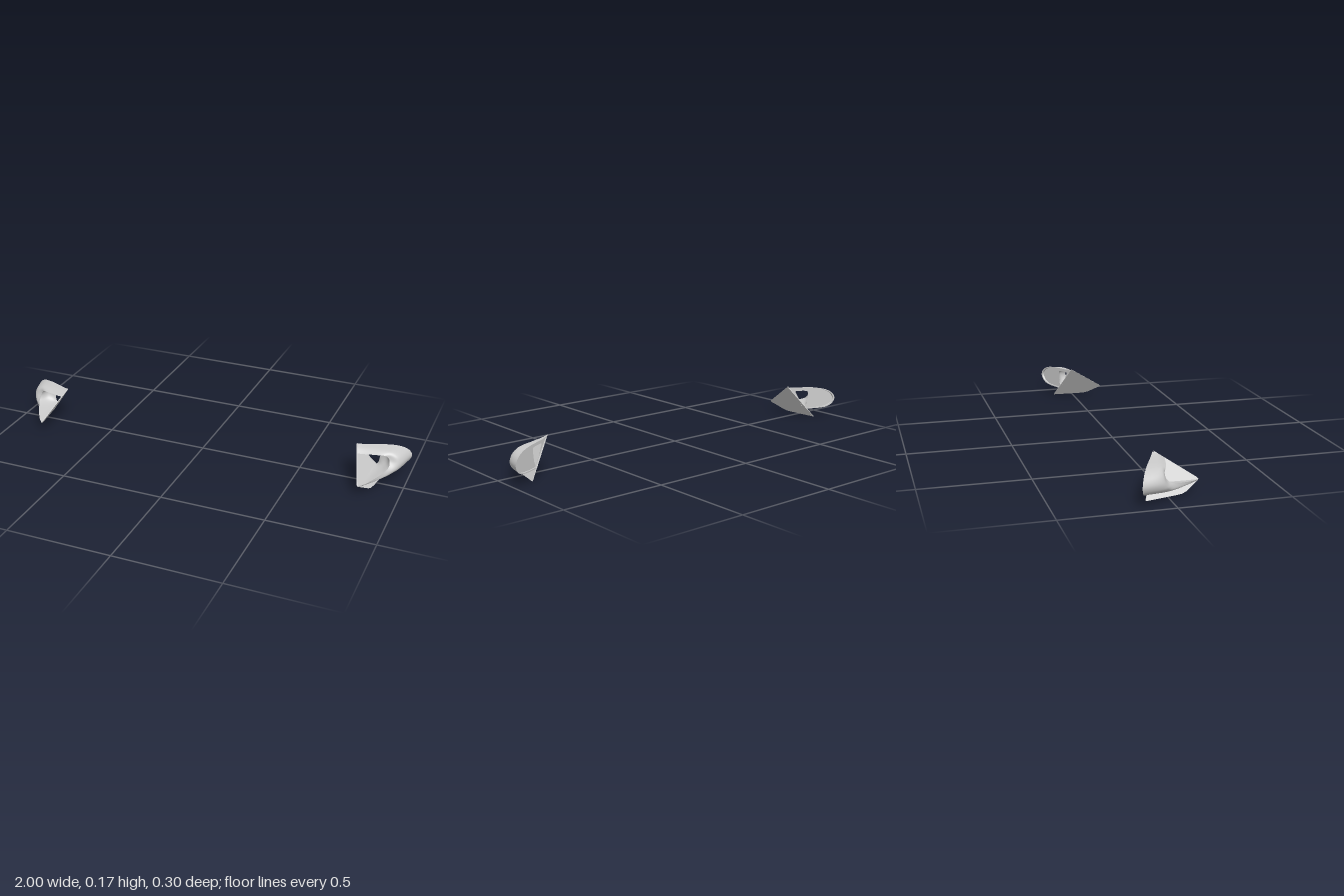
import * as THREE from 'three';

const COLS = 56;
const material = new THREE.MeshStandardMaterial({ color: 0xcccccc, side: THREE.DoubleSide });

// Slanted plane of the rear face, and the leaning plane of the inner sail panel
const rearZ = (x) => -0.037 - 0.481 * (x - 0.765);
const sailX = (y, z) => 0.876 - 0.706 * y - 0.14 * z;

const vec = (p) => new THREE.Vector3(...p);
const onRear = (points, forward = 0) => points.map(([x, y]) => vec([x, y, rearZ(x) + forward]));

// Cross-sections, each running inner top > outer end > inner bottom
const rimXY = [[0.762, 0.168], [0.79, 0.163], [0.85, 0.16], [0.90, 0.157], [0.95, 0.146], [0.985, 0.124],
  [0.998, 0.097], [0.987, 0.07], [0.96, 0.052], [0.92, 0.046], [0.88, 0.045], [0.853, 0.045]];
const holeXY = [[0.80, 0.142], [0.815, 0.143], [0.835, 0.143], [0.85, 0.142], [0.862, 0.139], [0.866, 0.125],
  [0.864, 0.105], [0.861, 0.085], [0.858, 0.07], [0.853, 0.062], [0.845, 0.06], [0.838, 0.06]];
const insetXY = rimXY.map(([x, y]) => [0.88 + (x - 0.88) * 0.94, 0.1 + (y - 0.1) * 0.91]);
const belly = [[0.768, 0.158, -0.01], [0.795, 0.157, -0.02], [0.84, 0.155, -0.033], [0.89, 0.152, -0.045],
  [0.927, 0.145, -0.052], [0.952, 0.126, -0.05], [0.962, 0.1, -0.045], [0.953, 0.073, -0.03],
  [0.93, 0.054, -0.01], [0.895, 0.046, 0.04], [0.855, 0.045, 0.1], [0.825, 0.045, 0.143]].map(vec);
const lip = [[0.776, 0.142, 0.013], [0.80, 0.141, 0.008], [0.84, 0.141, -0.002], [0.87, 0.14, -0.01],
  [0.897, 0.136, -0.022], [0.912, 0.124, -0.03], [0.92, 0.105, -0.027], [0.92, 0.085, -0.01],
  [0.907, 0.072, 0.02], [0.885, 0.064, 0.06], [0.848, 0.054, 0.12], [0.823, 0.05, 0.147]].map(vec);

const RECESS = 0.008;
const rim = onRear(rimXY);
const inset = onRear(insetXY);
const insetDeep = onRear(insetXY, RECESS);
const hole = onRear(holeXY, RECESS);
const scoop = lip.map((p, i) => p.clone().lerp(hole[i], 0.5).add(new THREE.Vector3(0.006, 0, -0.008)));

// Skin over a few cross-sections, curved both around and along
function loft(sections, rows) {
  const rings = sections.map((s) => new THREE.CatmullRomCurve3(s));
  const positions = [];
  const index = [];
  for (let i = 0; i <= COLS; i++) {
    const rail = new THREE.CatmullRomCurve3(rings.map((r) => r.getPoint(i / COLS)));
    for (let j = 0; j <= rows; j++) positions.push(...rail.getPoint(j / rows).toArray());
  }
  for (let i = 0; i < COLS; i++) {
    for (let j = 0; j < rows; j++) {
      const a = i * (rows + 1) + j;
      const c = a + rows + 1;
      index.push(a, a + 1, c, a + 1, c + 1, c);
    }
  }
  const geometry = new THREE.BufferGeometry();
  geometry.setAttribute('position', new THREE.Float32BufferAttribute(positions, 3));
  geometry.setIndex(index);
  geometry.computeVertexNormals();
  return geometry;
}

// Move every vertex of a geometry by a rule
function bend(geometry, rule) {
  const p = geometry.attributes.position;
  for (let i = 0; i < p.count; i++) p.setXYZ(i, ...rule(p.getX(i), p.getY(i), p.getZ(i)));
  geometry.computeVertexNormals();
  return geometry;
}

const smoothOutline = (points) => new THREE.CatmullRomCurve3(points)
  .getPoints(COLS).map((p) => new THREE.Vector2(p.x, p.y));

// Flat sheet lying along the rear plane, facing backwards
function rearSheet(outline, forward, opening) {
  const shape = new THREE.Shape(outline);
  if (opening) shape.holes.push(new THREE.Path(opening));
  const geometry = new THREE.ShapeGeometry(shape);
  const idx = geometry.index.array;
  for (let i = 0; i < idx.length; i += 3) [idx[i], idx[i + 1]] = [idx[i + 1], idx[i]];
  return bend(geometry, (x, y) => [x, y, rearZ(x) + forward]);
}

// Plate drawn in (z, y), leaning with the sail plane
function sailPlate(points, thickness, offset) {
  const shape = new THREE.Shape(points.map(([z, y]) => new THREE.Vector2(-z, y)));
  const geometry = new THREE.ExtrudeGeometry(shape, { depth: thickness, bevelEnabled: false });
  geometry.rotateY(Math.PI / 2);
  return bend(geometry, (x, y, z) => [x + offset + sailX(y, z), y, z]);
}

// Mirrored copy with its faces turned the right way out
function mirrored(source) {
  const geometry = source.index ? source.toNonIndexed() : source.clone();
  geometry.scale(-1, 1, 1);
  for (const attribute of Object.values(geometry.attributes)) {
    const { array, itemSize: n } = attribute;
    for (let i = 0; i < array.length; i += 3 * n) {
      for (let k = 0; k < n; k++) [array[i + k], array[i + n + k]] = [array[i + n + k], array[i + k]];
    }
  }
  return geometry;
}

export function createModel() {
  const glassXY = [[0.88, 0.148], [0.90, 0.147], [0.945, 0.136], [0.972, 0.118], [0.982, 0.097],
    [0.973, 0.075], [0.95, 0.06], [0.92, 0.055], [0.89, 0.055], [0.878, 0.06], [0.874, 0.1], [0.876, 0.14]];

  const parts = {
    // Outer shell, sweeping from the rear rim to the front lip
    housing: loft([rim, belly, lip], 20),
    // Hollow behind the lip, running back to the through opening
    scoop: loft([lip, scoop, hole], 14),
    rimEdge: loft([inset, rim], 1),
    rimRecess: loft([insetDeep, inset], 1),
    backPlate: rearSheet(smoothOutline(insetDeep), RECESS, smoothOutline(hole)),
    mirrorGlass: rearSheet(smoothOutline(glassXY.map(([x, y]) => vec([x, y, 0]))), RECESS - 0.003),
    // Triangular mounting panel and the thin flange below it
    sailPanel: sailPlate([[-0.029, 0.17], [0.143, 0.058], [0.149, 0.051], [0.144, 0.045], [-0.083, 0.045]], 0.006, -0.003),
    flange: sailPlate([[0.146, 0.047], [0.11, 0.027], [0.085, 0.013], [0.065, 0.007], [0.04, 0.005],
      [-0.102, 0], [-0.101, 0.006], [-0.083, 0.046]], 0.003, -0.002),
    lowerRib: sailPlate([[0.135, 0.046], [-0.083, 0.046], [-0.084, 0.04], [0.125, 0.04]], 0.006, -0.002),
  };

  const model = new THREE.Group();
  model.name = 'sideMirrors';
  for (const side of ['left', 'right']) {
    const mirror = new THREE.Group();
    mirror.name = `${side}Mirror`;
    for (const [name, geometry] of Object.entries(parts)) {
      const mesh = new THREE.Mesh(side === 'left' ? geometry : mirrored(geometry), material);
      mesh.name = name;
      mirror.add(mesh);
    }
    model.add(mirror);
  }
  return model;
}
